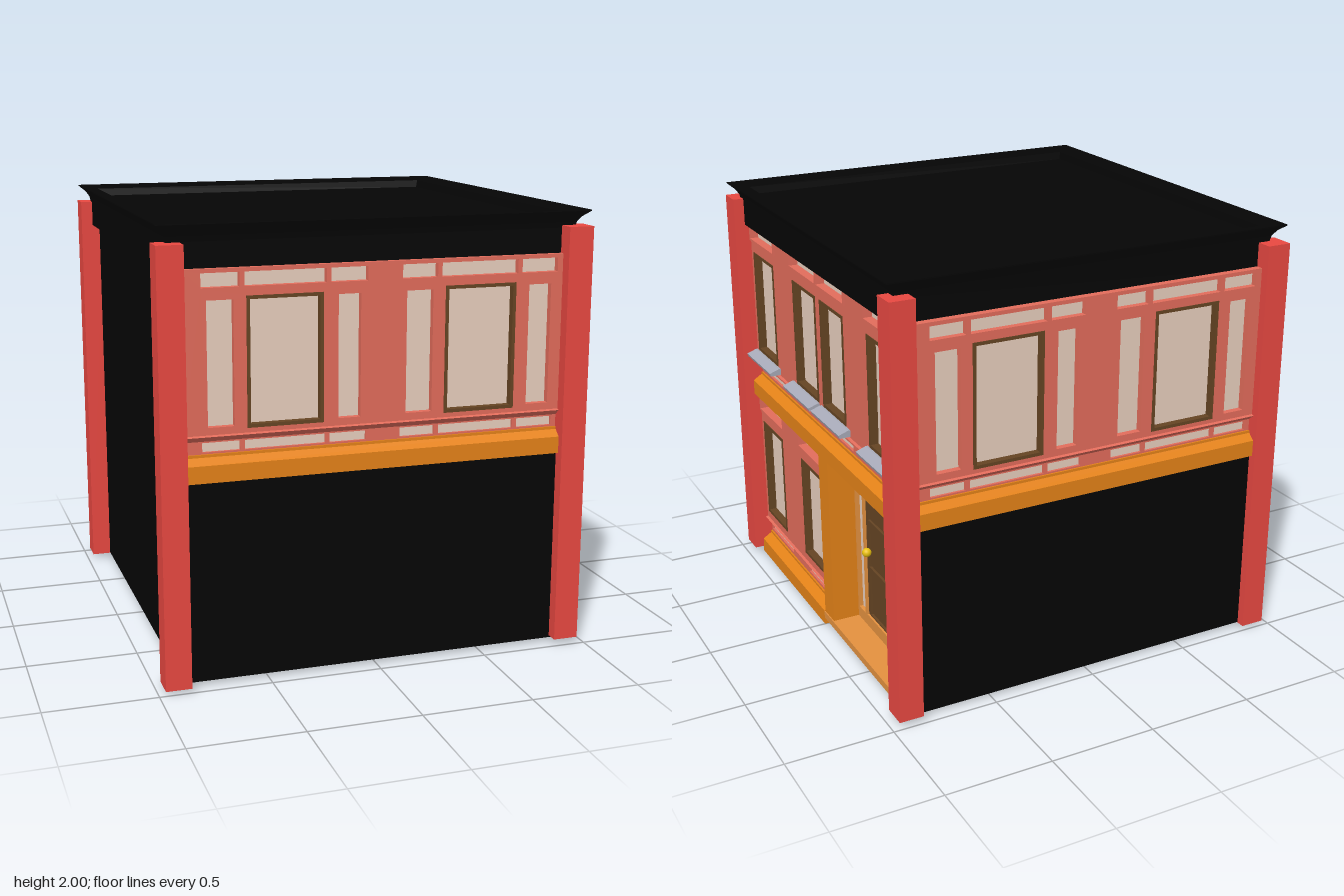
import * as THREE from 'three';

const mat = (color, extra = {}) => new THREE.MeshStandardMaterial({ color, ...extra });
const M = {
  brick: mat(0xe26c5b), column: mat(0xe84841), ochre: mat(0xe48218), wood: mat(0xe4913f),
  brown: mat(0x654423), pane: mat(0xe8cebd), sill: mat(0xa8aab8), knob: mat(0xe8c010),
  black: mat(0x050505, { side: THREE.DoubleSide, flatShading: true }),
};

// Distances of the layers of a facade from the centre
const STREET = { face: 0.938, low: 0.92, front: 0.96, back: 0.888, recess: 0.03 };
const SIDE = { face: 0.888, low: 0.868, front: 0.92, back: 0.838, recess: 0.035 };

function add(parent, name, geometry, material) {
  const mesh = new THREE.Mesh(geometry, material);
  mesh.name = name;
  parent.add(mesh);
  return mesh;
}

function box(parent, name, material, [x0, x1], [y0, y1], [z0, z1]) {
  const g = new THREE.BoxGeometry(x1 - x0, y1 - y0, z1 - z0);
  g.translate((x0 + x1) / 2, (y0 + y1) / 2, (z0 + z1) / 2);
  return add(parent, name, g, material);
}

function trace(path, [x0, x1, y0, y1]) {
  path.moveTo(x0, y0);
  path.lineTo(x1, y0);
  path.lineTo(x1, y1);
  path.lineTo(x0, y1);
  path.closePath();
  return path;
}

// Slab with rectangular openings, its front at z
function slab(parent, name, material, rect, holes, z, depth) {
  const shape = trace(new THREE.Shape(), rect);
  shape.holes = holes.map((h) => trace(new THREE.Path(), h));
  const g = new THREE.ExtrudeGeometry(shape, { depth, bevelEnabled: false });
  g.translate(0, 0, z - depth);
  return add(parent, name, g, material);
}

// Moulding with a [z, y] profile that runs along x
function moulding(parent, name, material, profile, x0, x1) {
  const shape = new THREE.Shape(profile.map(([z, y]) => new THREE.Vector2(z, y)));
  const g = new THREE.ExtrudeGeometry(shape, { depth: x1 - x0, bevelEnabled: false });
  g.rotateY(-Math.PI / 2);
  g.translate(x1, 0, 0);
  return add(parent, name, g, material);
}

const grow = ([a, b, c, d], t) => [a - t, b + t, c - t, d + t];

function panes(parent, name, rects, z) {
  for (const [a, b, c, d] of rects) box(parent, name, M.pane, [a, b], [c, d], [z - 0.008, z]);
}

// One storey: band, strip of small panels, sloped ledge, wall with windows
function storey(name, { face, low, front, back, recess }, o) {
  const g = new THREE.Group();
  g.name = name;
  const { x0, x1, base, bandTop, ledge, top } = o;
  moulding(g, 'band', M.ochre, [
    [back, base], [front, base], [front, bandTop - 0.04], [low + 0.008, bandTop - 0.012],
    [low + 0.008, bandTop], [back, bandTop]], x0, x1);
  slab(g, 'lowerStrip', M.brick, [x0, x1, bandTop, ledge], o.small, low, low - back);
  panes(g, 'smallPanel', o.small, low - 0.012);
  moulding(g, 'ledge', M.brick, [
    [back, ledge], [low, ledge], [face + 0.012, ledge + 0.025],
    [face, ledge + 0.03], [back, ledge + 0.03]], x0, x1);

  const flats = [...o.upper, ...o.sides];
  slab(g, 'wall', M.brick, [x0, x1, ledge + 0.03, top], [...flats, ...o.windows], face, face - back);
  panes(g, 'wallPanel', flats, face - recess);
  panes(g, 'windowPane', o.windows, face - recess);
  for (const w of o.windows) slab(g, 'windowFrame', M.brown, w, [grow(w, -0.015)], face + 0.003, recess + 0.01);
  return g;
}

// Upper storey shared by front and back
function streetFacade(name) {
  const cols = [[-0.777, -0.613], [-0.592, -0.237], [-0.217, -0.053], [0.103, 0.263], [0.283, 0.638], [0.658, 0.827]];
  const sides = [[-0.755, -0.64], [-0.184, -0.084], [0.123, 0.243], [0.693, 0.798]];
  const g = storey(name, STREET, {
    x0: -0.86, x1: 0.86, base: 0.912, bandTop: 1.028, ledge: 1.083, top: 1.81,
    small: cols.map(([a, b]) => [a, b, 1.036, 1.077]),
    upper: cols.map(([a, b]) => [a, b, 1.732, 1.793]),
    sides: sides.map(([a, b]) => [a, b, 1.145, 1.68]),
    windows: [[-0.585, -0.25, 1.133, 1.693], [0.3, 0.63, 1.133, 1.693]],
  });
  box(g, 'groundWall', M.black, [-0.9, 0.9], [0.02, 0.93], [STREET.face - 0.01, STREET.face]);
  return g;
}

// Storey of the entrance side, where x runs towards the back
function sideStorey(name, x0, x1, count) {
  const cols = [[-0.87, -0.55], [-0.324, -0.005], [0.013, 0.326], [0.551, 0.871]].slice(0, count);
  const wins = [[-0.847, -0.57], [-0.309, -0.021], [0.033, 0.306], [0.566, 0.856]].slice(0, count);
  const upper = cols.map(([a, b]) => [a, b, 1.73, 1.79]);
  const g = storey(name, SIDE, {
    x0, x1, base: 0.907, bandTop: 1.02, ledge: 1.08, top: 1.81,
    small: cols.map(([a, b]) => [a, b, 1.032, 1.06]),
    upper,
    sides: [],
    windows: wins.map(([a, b]) => [a, b, 1.15, 1.665]),
  });
  for (const p of upper) slab(g, 'panelRim', M.brick, grow(p, 0.01), [p], SIDE.face + 0.008, 0.02);
  return g;
}

// Window sills of the upper storey on the entrance side
function addSills(parent) {
  const z = SIDE.face;
  for (const [a, b] of [[-0.88, -0.54], [-0.358, -0.021], [0.006, 0.346], [0.541, 0.876]]) {
    moulding(parent, 'windowSill', M.sill, [
      [z - 0.02, 1.115], [0.94, 1.115], [0.945, 1.13], [z + 0.01, 1.147], [z - 0.02, 1.147]], a, b);
  }
}

// Recessed doorway
function entrance() {
  const g = new THREE.Group();
  g.name = 'entrance';
  const z = 0.785;
  for (const r of [[0, 0.11], [0.79, 0.885]]) box(g, 'doorJamb', M.ochre, r, [0.03, 0.93], [0.745, 0.915]);
  box(g, 'doorCeiling', M.ochre, [0, 0.885], [0.92, 0.935], [0.745, 0.9]);
  box(g, 'threshold', M.wood, [0, 0.885], [0.035, 0.07], [0.77, 0.92]);

  const lights = [
    [0.122, 0.198, 0.125, 0.83], [0.71, 0.775, 0.125, 0.83],
    [0.118, 0.198, 0.853, 0.915], [0.213, 0.688, 0.853, 0.915], [0.705, 0.783, 0.853, 0.915]];
  const door = [0.218, 0.688, 0.128, 0.827];
  slab(g, 'doorSurround', M.wood, [0.107, 0.79, 0.035, 0.92], [...lights, door], z, 0.04);
  panes(g, 'doorLight', lights, z - 0.02);

  const insets = [];
  for (const [a, b] of [[0.24, 0.435], [0.47, 0.665]])
    for (const [c, d] of [[0.135, 0.35], [0.39, 0.6], [0.635, 0.808]]) insets.push([a, b, c, d]);
  slab(g, 'door', M.brown, door, insets, z - 0.01, 0.02);
  box(g, 'doorInset', M.brown, [door[0], door[1]], [door[2], door[3]], [z - 0.035, z - 0.022]);
  add(g, 'doorKnob', new THREE.SphereGeometry(0.022, 16, 12), M.knob).position.set(0.261, 0.48, z + 0.01);
  return g;
}

export function createModel() {
  const model = new THREE.Group();
  model.name = 'cornerBuilding';

  // Corner columns, slightly higher on the entrance side
  for (const [x, y] of [[-0.913, 0.968], [0.909, 0.98]]) for (const z of [-0.932, 0.936]) {
    add(model, 'cornerColumn', new THREE.BoxGeometry(0.115, 1.902, 0.115), M.column).position.set(x, y, z);
  }

  // Front and back
  const back = streetFacade('backFacade');
  back.rotation.y = Math.PI;
  back.position.z = -0.012;
  model.add(streetFacade('frontFacade'), back);

  // Entrance side
  const side = new THREE.Group();
  side.name = 'entranceFacade';
  side.rotation.y = Math.PI / 2;
  const upper = sideStorey('upperStorey', -0.885, 0.885, 4);
  addSills(upper);
  const ground = sideStorey('groundStorey', -0.885, 0, 2);
  ground.position.y = -0.907;
  side.add(upper, ground, entrance());
  model.add(side);

  // Blank party wall
  box(model, 'partyWall', M.black, [-0.88, -0.87], [0.02, 1.9], [-0.92, 0.92]);

  // Flared cornice with a sunken roof deck
  const profile = [
    [0.915, 1.8], [0.915, 1.92], [0.92, 1.945], [0.937, 1.97], [0.966, 1.995],
    [0.966, 2], [0.88, 1.985], [0.87, 1.95], [0, 1.95]];
  const roof = new THREE.LatheGeometry(
    profile.map(([r, y]) => new THREE.Vector2(r * Math.SQRT2, y)), 4, Math.PI / 4);
  add(model, 'corniceRoof', roof, M.black);
  return model;
}
